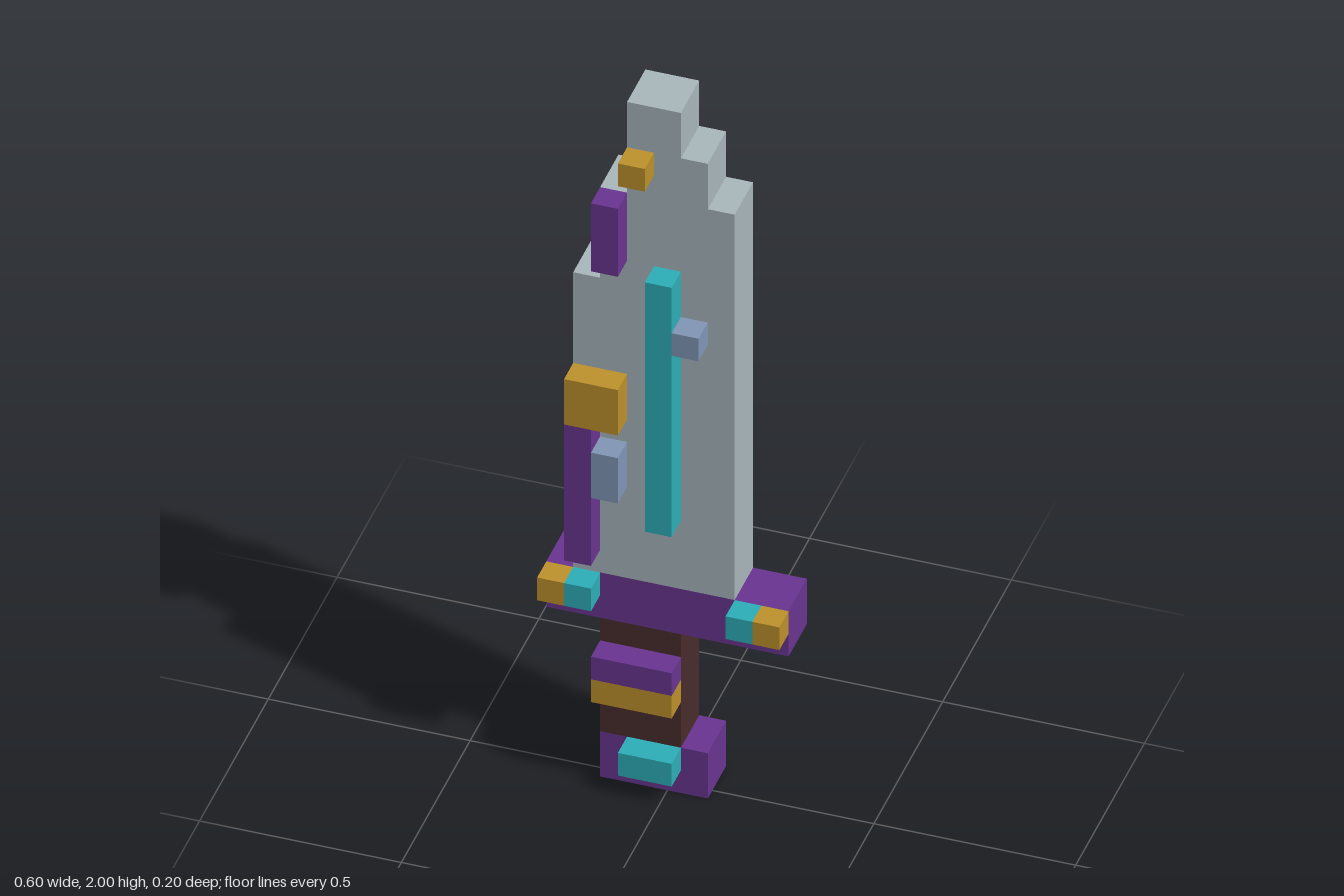
import * as THREE from 'three';

const U = 1 / 15; // one voxel

const mat = (name, color) => {
  const m = new THREE.MeshStandardMaterial({ color });
  m.name = name;
  return m;
};

export function createModel() {
  const steel = mat('steel', 0xaab8bd);
  const purple = mat('purple', 0x6a3592);
  const gold = mat('gold', 0xbf932c);
  const cyan = mat('cyan', 0x2eb0ba);
  const slate = mat('slate', 0x8298b8);
  const brown = mat('brown', 0x4a2d2d);

  const sword = new THREE.Group();
  sword.name = 'sword';

  // Box from voxel bounds
  const box = (name, material, x0, x1, y0, y1, z0, z1) => {
    const g = new THREE.BoxGeometry((x1 - x0) * U, (y1 - y0) * U, (z1 - z0) * U);
    g.translate((x0 + x1) / 2 * U, (y0 + y1) / 2 * U, (z0 + z1) / 2 * U);
    const mesh = new THREE.Mesh(g, material);
    mesh.name = name;
    sword.add(mesh);
  };
  const body = (name, m, x0, x1, y0, y1) => box(name, m, x0, x1, y0, y1, -1.5, 0.5);
  const stud = (name, m, x0, x1, y0, y1) => box(name, m, x0, x1, y0, y1, 0.5, 1.5);

  // Stepped blade silhouette
  const outline = [
    [-3.5, 9], [2.5, 9], [2.5, 26], [1.5, 26], [1.5, 28], [0.5, 28],
    [0.5, 30], [-1.5, 30], [-1.5, 26], [-2.5, 26], [-2.5, 22], [-3.5, 22],
  ].map(([x, y]) => new THREE.Vector2(x * U, y * U));
  const bladeGeo = new THREE.ExtrudeGeometry(new THREE.Shape(outline), { depth: 2 * U, bevelEnabled: false });
  bladeGeo.translate(0, 0, -1.5 * U);
  const blade = new THREE.Mesh(bladeGeo, steel);
  blade.name = 'blade';
  sword.add(blade);

  // Hilt
  body('guard', purple, -4.5, 4.5, 7, 9);
  body('grip', brown, -2.5, 0.5, 2, 7);
  body('pommel', purple, -2.5, 1.5, 0, 2);

  // Raised blade ornaments
  stud('bladeRune', cyan, -0.5, 0.5, 12, 23);
  stud('tipStud', gold, -1.5, -0.5, 27, 28);
  stud('upperEdgeStrip', purple, -2.5, -1.5, 23, 26);
  stud('lowerEdgeStrip', purple, -3.5, -2.5, 10, 16);
  stud('edgeClasp', gold, -3.5, -1.5, 16, 18);
  stud('upperChip', slate, 0.5, 1.5, 20, 21);
  stud('lowerChip', slate, -2.5, -1.5, 13, 15);

  // Guard gems, mirrored
  for (const [side, s] of [['left', 1], ['right', -1]]) {
    const pair = (name, m, a, b) => stud(name, m, Math.min(a * s, b * s), Math.max(a * s, b * s), 8, 9);
    pair(side + 'GuardGem', cyan, 2.5, 3.5);
    pair(side + 'GuardCap', gold, 3.5, 4.5);
  }

  // Grip bands and pommel gem
  stud('upperGripBand', purple, -2.5, 0.5, 5, 6);
  stud('lowerGripBand', gold, -2.5, 0.5, 4, 5);
  stud('pommelGem', cyan, -1.5, 0.5, 1, 2);

  return sword;
}
